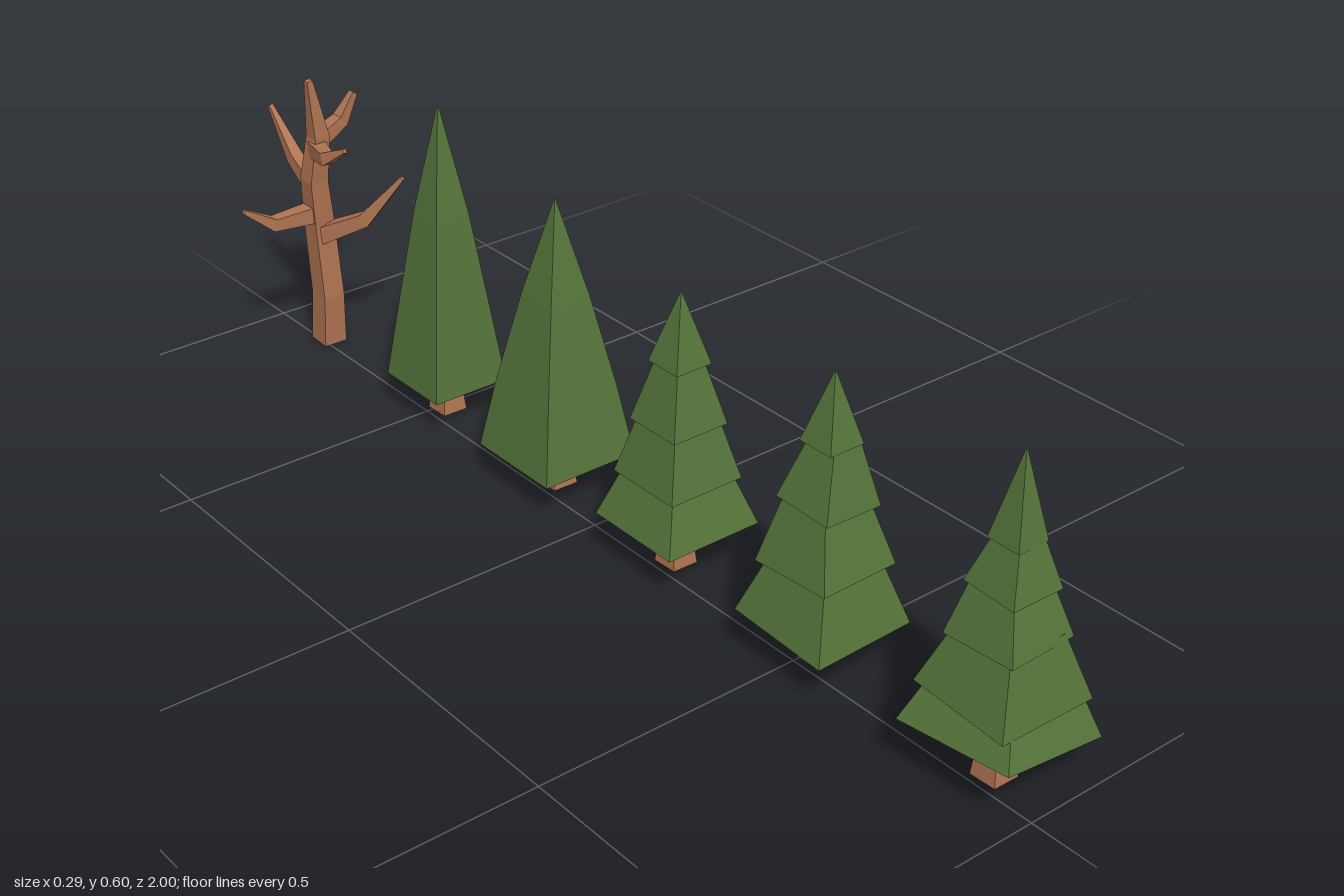
import * as THREE from 'three';

const green = new THREE.MeshStandardMaterial({ color: 0x55753a });
green.name = 'needle green';
const brown = new THREE.MeshStandardMaterial({ color: 0xb07452 });
brown.name = 'bark brown';

// Square-section loft along points [x, y, z, halfWidth], faceted and capped
function loft(name, points, material, ref = new THREE.Vector3(1, 0, 0)) {
  const centres = points.map(p => new THREE.Vector3(p[0], p[1], p[2]));
  const last = points.length - 1;
  const rings = centres.map((c, i) => {
    const t = centres[Math.min(i + 1, last)].clone().sub(centres[Math.max(i - 1, 0)]).normalize();
    const u = ref.clone().addScaledVector(t, -ref.dot(t)).normalize();
    const v = t.clone().cross(u);
    return [[1, 1], [-1, 1], [-1, -1], [1, -1]].map(([a, b]) =>
      c.clone().addScaledVector(u, a * points[i][3]).addScaledVector(v, b * points[i][3]));
  });
  const verts = [];
  const quad = (a, b, c, d) => [a, b, c, a, c, d].forEach(p => verts.push(p.x, p.y, p.z));
  for (let i = 0; i < last; i++) {
    for (let k = 0; k < 4; k++) {
      const n = (k + 1) % 4;
      quad(rings[i][k], rings[i][n], rings[i + 1][n], rings[i + 1][k]);
    }
  }
  const [b, t] = [rings[0], rings[last]];
  quad(b[3], b[2], b[1], b[0]);
  quad(t[0], t[1], t[2], t[3]);
  const geo = new THREE.BufferGeometry();
  geo.setAttribute('position', new THREE.Float32BufferAttribute(verts, 3));
  geo.computeVertexNormals();
  const mesh = new THREE.Mesh(geo, material);
  mesh.name = name;
  return mesh;
}

// Each tier: [bottomY, bottomHalf, topY, topHalf, tiltX, twistY, tiltZ]
const tieredTrees = [
  { z: 0.893, tiers: [
    [0.086, 0.105, 0.175, 0.07, -0.08, 0.05, -0.15],
    [0.155, 0.09, 0.265, 0.054, 0.05, -0.03, 0.02],
    [0.25, 0.065, 0.345, 0.039, -0.04, 0.03, 0],
    [0.335, 0.049, 0.42, 0.024, 0.03, -0.02, 0],
    [0.41, 0.03, 0.556, 0.0005, 0, 0, 0]] },
  { z: 0.522, tiers: [
    [0.08, 0.096, 0.19, 0.061, 0.05, 0, 0.03],
    [0.18, 0.076, 0.3, 0.044, -0.05, 0.02, 0],
    [0.29, 0.056, 0.4, 0.027, 0.03, 0, -0.03],
    [0.393, 0.034, 0.513, 0.001, 0, 0, 0]] },
  { z: 0.172, tiers: [
    [0.085, 0.095, 0.18, 0.062, 0, 0, 0],
    [0.17, 0.074, 0.28, 0.046, 0, 0, 0],
    [0.27, 0.056, 0.385, 0.027, 0, 0, 0],
    [0.378, 0.036, 0.503, 0.001, 0, 0, 0]] },
];

// Smooth-sided evergreens: [y, half] profile
const plainTrees = [
  { z: -0.152, profile: [[0.067, 0.096], [0.2, 0.074], [0.37, 0.041], [0.545, 0.001]] },
  { z: -0.485, profile: [[0.067, 0.078], [0.2, 0.061], [0.4, 0.035], [0.602, 0.001]] },
];

function evergreen(name, z) {
  const tree = new THREE.Group();
  tree.name = name;
  tree.position.set(0.036, 0, z);
  tree.add(loft('evergreenTrunk',
    [[0, 0, 0, 0.025], [0.001, 0.05, -0.002, 0.02], [0, 0.1, 0, 0.023]], brown));
  return tree;
}

function bareTree() {
  const tree = new THREE.Group();
  tree.name = 'bareTree';
  tree.add(loft('bareTrunk', [
    [0.012, 0, -0.851, 0.024], [0.014, 0.1, -0.848, 0.022], [0.012, 0.25, -0.862, 0.021],
    [0.004, 0.34, -0.858, 0.019], [0.012, 0.43, -0.848, 0.016], [-0.004, 0.545, -0.845, 0.006]], brown));
  // Branches run root, elbow, tip
  const branches = [
    [[0.01, 0.272, -0.86, 0.017], [-0.088, 0.272, -0.864, 0.012], [-0.146, 0.312, -0.868, 0.004]],
    [[0.01, 0.225, -0.855, 0.017], [0.06, 0.273, -0.772, 0.013], [0.102, 0.368, -0.706, 0.004]],
    [[0.01, 0.252, -0.855, 0.017], [0.045, 0.222, -0.92, 0.013], [0.068, 0.253, -0.992, 0.004]],
    [[0.005, 0.325, -0.855, 0.016], [0.01, 0.358, -0.935, 0.012], [0, 0.447, -0.996, 0.004]],
    [[0.008, 0.405, -0.85, 0.016], [-0.01, 0.412, -0.785, 0.012], [0, 0.44, -0.738, 0.004]],
    [[0.008, 0.42, -0.85, 0.015], [0.07, 0.444, -0.86, 0.012], [0.1, 0.493, -0.857, 0.006]],
  ];
  for (const path of branches) {
    const [a, , c] = path;
    const side = new THREE.Vector3(a[2] - c[2], 0, c[0] - a[0]).normalize();
    tree.add(loft('branch', path, brown, side));
  }
  return tree;
}

export function createModel() {
  const model = new THREE.Group();
  model.name = 'treeRow';
  tieredTrees.forEach(({ z, tiers }) => {
    const tree = evergreen('tieredEvergreen', z);
    for (const [y0, h0, y1, h1, rx, ry, rz] of tiers) {
      const tier = loft('foliageTier', [[0, 0, 0, h0], [0, y1 - y0, 0, h1]], green);
      tier.position.y = y0;
      tier.rotation.set(rx, ry, rz);
      tree.add(tier);
    }
    model.add(tree);
  });
  plainTrees.forEach(({ z, profile }) => {
    const tree = evergreen('tallEvergreen', z);
    tree.add(loft('foliage', profile.map(([y, h]) => [0, y, 0, h]), green));
    model.add(tree);
  });
  model.add(bareTree());
  return model;
}
